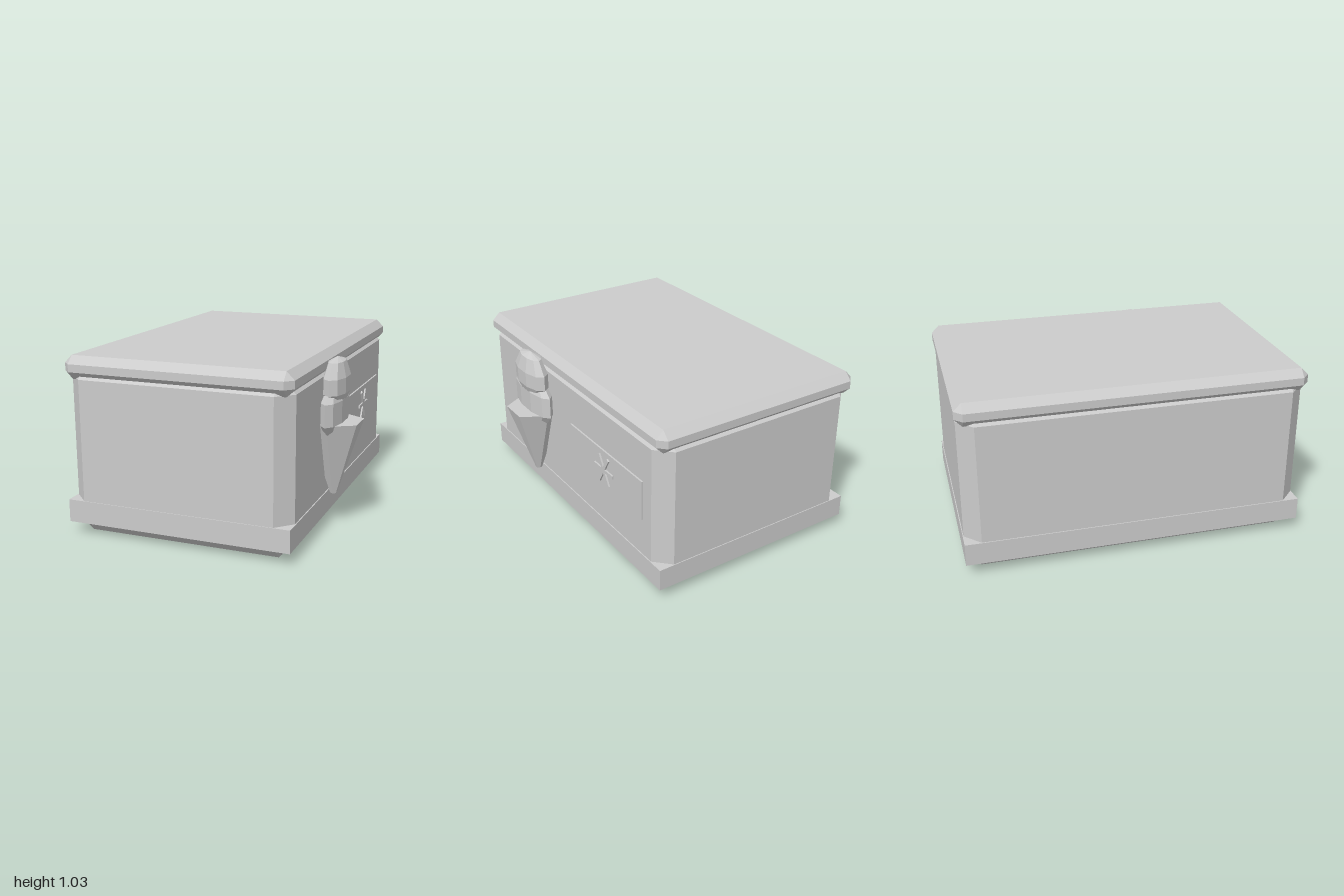
import * as THREE from 'three';
import { ConvexGeometry } from 'three/addons/geometries/ConvexGeometry.js';

const CX = -0.095; // centre of the chest in x
const SIDE = 0.565; // x of the decorated side wall

const material = new THREE.MeshStandardMaterial({ color: 0xcccccc, flatShading: true });

function part(name, geometry, x, y, z) {
  const mesh = new THREE.Mesh(geometry, material);
  mesh.name = name;
  mesh.position.set(x, y, z);
  return mesh;
}

// Box with every edge cut at 45 degrees by the bevel b
function chamferedBox(w, h, d, b) {
  const points = [];
  for (const sx of [-1, 1]) for (const sy of [-1, 1]) for (const sz of [-1, 1]) {
    for (const [bx, by, bz] of [[0, b, b], [b, 0, b], [b, b, 0]]) {
      points.push(new THREE.Vector3(sx * (w / 2 - bx), sy * (h / 2 - by), sz * (d / 2 - bz)));
    }
  }
  return new ConvexGeometry(points);
}

// Ten-sided turned form, squashed in x; profile is [radius, y] from the bottom up
function squashedLathe(name, profile, x, z, squash) {
  const points = profile.map(([r, y]) => new THREE.Vector2(r, y));
  const mesh = part(name, new THREE.LatheGeometry(points, 10), x, 0, z);
  mesh.scale.x = squash;
  return mesh;
}

export function createModel() {
  const group = new THREE.Group();
  group.name = 'freezerChest';

  // Chest
  group.add(part('body', chamferedBox(1.32, 0.995, 1.98, 0.09), CX, 0.4975, 0));
  group.add(part('basePlinth', new THREE.BoxGeometry(1.332, 0.132, 1.99), CX, 0.136, 0));
  group.add(part('lid', chamferedBox(1.34, 0.135, 2, 0.045), CX, 0.9675, 0));

  // Ice cream cone mounted on the side
  const iceCream = new THREE.Group();
  iceCream.name = 'iceCream';
  const z = 0.333;
  iceCream.add(part('cone', new THREE.CylinderGeometry(0.172, 0.02, 0.44, 6), 0.611, 0.42, z));
  iceCream.add(squashedLathe('lowerScoop',
    [[0, 0.49], [0.12, 0.55], [0.21, 0.64], [0.21, 0.77], [0.165, 0.81], [0, 0.87]], 0.611, z, 0.29));
  iceCream.add(squashedLathe('upperScoop',
    [[0, 0.72], [0.13, 0.77], [0.168, 0.81], [0.168, 0.9], [0.11, 0.985], [0, 1.01]], 0.618, z, 0.41));
  group.add(iceCream);

  // Side panel with a six-armed snowflake
  group.add(part('sidePanel', new THREE.BoxGeometry(0.02, 0.24, 0.768), SIDE, 0.555, -0.439));
  const snowflake = new THREE.Group();
  snowflake.name = 'snowflake';
  for (let i = 0; i < 3; i++) {
    const bar = part('snowflakeBar', new THREE.BoxGeometry(0.02, 0.02, 0.2), SIDE + 0.01, 0.555, -0.439);
    bar.rotation.x = (i * Math.PI) / 3;
    snowflake.add(bar);
  }
  group.add(snowflake);

  return group;
}
